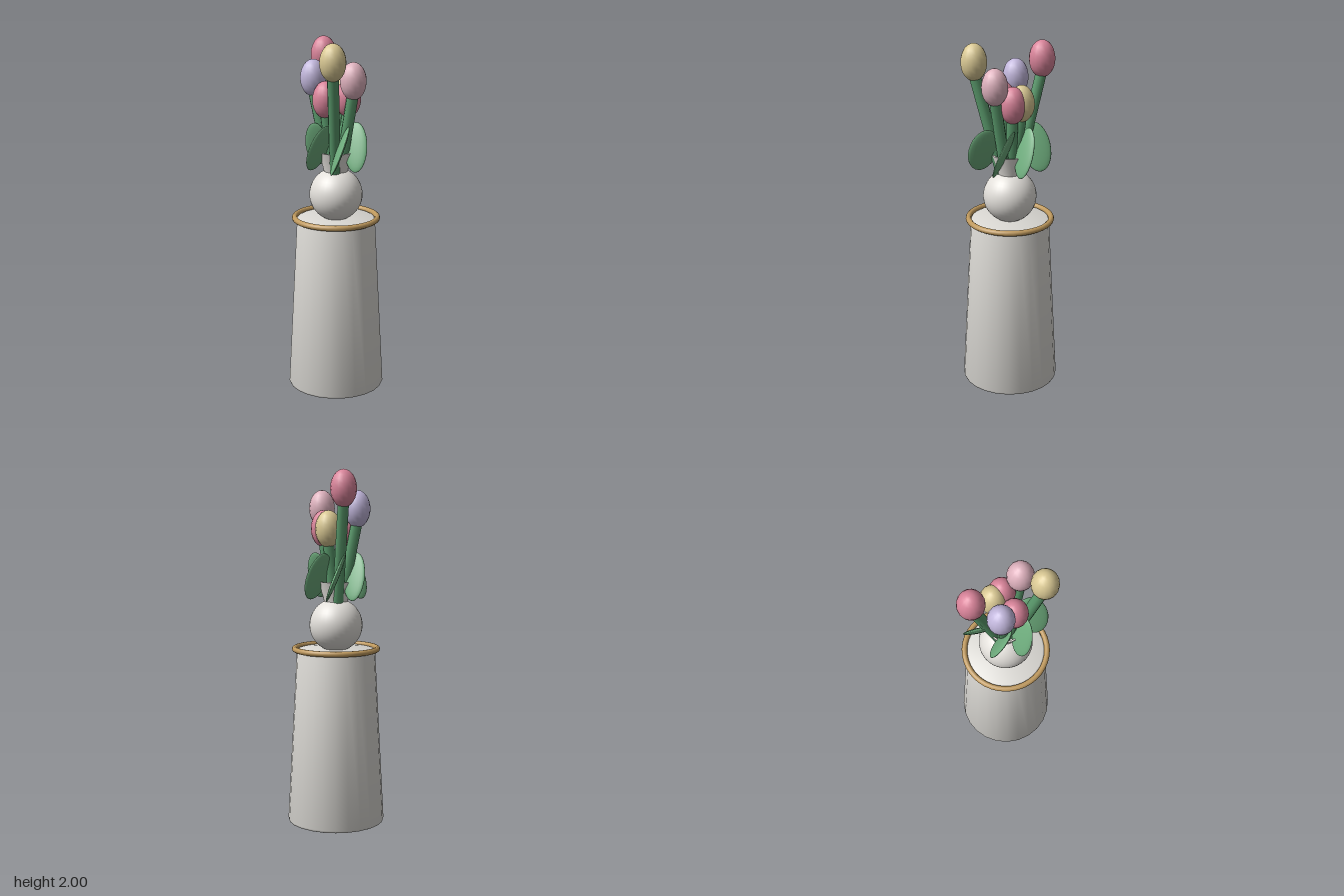
import * as THREE from 'three';
import { toCreasedNormals } from 'three/addons/utils/BufferGeometryUtils.js';

const UP = new THREE.Vector3(0, 1, 0);

function material(name, color) {
  const m = new THREE.MeshStandardMaterial({ color });
  m.name = name;
  return m;
}

function lathe(points, segments, crease) {
  const profile = points.map(([r, y]) => new THREE.Vector2(r, y));
  return toCreasedNormals(new THREE.LatheGeometry(profile, segments), crease);
}

export function createModel() {
  const stone = material('stone', 0xdbd9d4);
  const porcelain = material('porcelain', 0xe2dfda);
  const gold = material('gold', 0xc09a5e);
  const stemGreen = material('stem green', 0x5a9a6c);
  const leafGreen = material('leaf green', 0x6fae7e);
  const rose = material('rose', 0xd9849a);
  const pink = material('pale pink', 0xdfb2be);
  const yellow = material('soft yellow', 0xdac994);
  const lavender = material('lavender', 0xc2b7dc);

  const model = new THREE.Group();
  model.name = 'flowerPedestal';

  function add(name, geometry, mat, parent = model) {
    const mesh = new THREE.Mesh(geometry, mat);
    mesh.name = name;
    parent.add(mesh);
    return mesh;
  }

  // Tapered pedestal with small rounded edges
  add('pedestal', lathe([
    [0, 0], [0.262, 0], [0.271, 0.004], [0.275, 0.015],
    [0.222, 0.985], [0.219, 0.996], [0.21, 1], [0, 1],
  ], 24, 0.9), stone);

  // Gold ring around the top
  const ring = add('goldRing', new THREE.TorusGeometry(0.234, 0.016, 10, 40), gold);
  ring.rotation.x = Math.PI / 2;
  ring.position.y = 1;

  // Round vase with a flared open neck
  const body = add('vaseBody', new THREE.SphereGeometry(0.15, 32, 24), porcelain);
  body.position.y = 1.135;
  add('vaseNeck', lathe([
    [0.065, 1.26], [0.072, 1.29], [0.1, 1.38], [0.09, 1.38], [0.06, 1.29], [0, 1.29],
  ], 24, 0.7), porcelain);

  // Tulips: an egg-shaped head on a straight stem
  const headGeometry = new THREE.SphereGeometry(0.0725, 16, 12);
  headGeometry.scale(1, 1.42, 1);
  const tulips = [
    [-0.044, 1.897, 0.188, yellow],
    [-0.042, 1.897, -0.19, rose],
    [-0.118, 1.785, -0.06, lavender],
    [0.08, 1.785, 0.102, pink],
    [-0.062, 1.675, 0.028, rose],
    [0.068, 1.675, 0.0, rose],
    [0.042, 1.675, -0.055, yellow],
  ];
  for (const [x, y, z, color] of tulips) {
    const tulip = new THREE.Group();
    tulip.name = 'tulip';
    model.add(tulip);
    add('tulipHead', headGeometry, color, tulip).position.set(x, y, z);

    const top = new THREE.Vector3(x, y - 0.06, z);
    const base = new THREE.Vector3(x * 0.18, 1.22, z * 0.18);
    const direction = top.clone().sub(base);
    const stem = add('tulipStem',
      new THREE.CylinderGeometry(0.032, 0.032, direction.length(), 10), stemGreen, tulip);
    stem.position.copy(base).add(top).multiplyScalar(0.5);
    stem.quaternion.setFromUnitVectors(UP, direction.normalize());
  }

  // Flat oval leaves fanned around the neck, each leaning sideways
  const leafGeometry = new THREE.SphereGeometry(1, 20, 14);
  for (let i = 0; i < 6; i++) {
    const wide = i % 3 === 0;
    const fan = new THREE.Group();
    fan.name = 'leafHolder';
    fan.rotation.y = i * Math.PI / 3;
    model.add(fan);
    const leaf = add('leaf', leafGeometry, leafGreen, fan);
    leaf.scale.set(0.015, 0.142, wide ? 0.082 : 0.068);
    leaf.position.set(0, 1.412, wide ? 0.15 : 0.118);
    leaf.rotation.set(-0.15, 0, -0.38);
  }

  return model;
}
